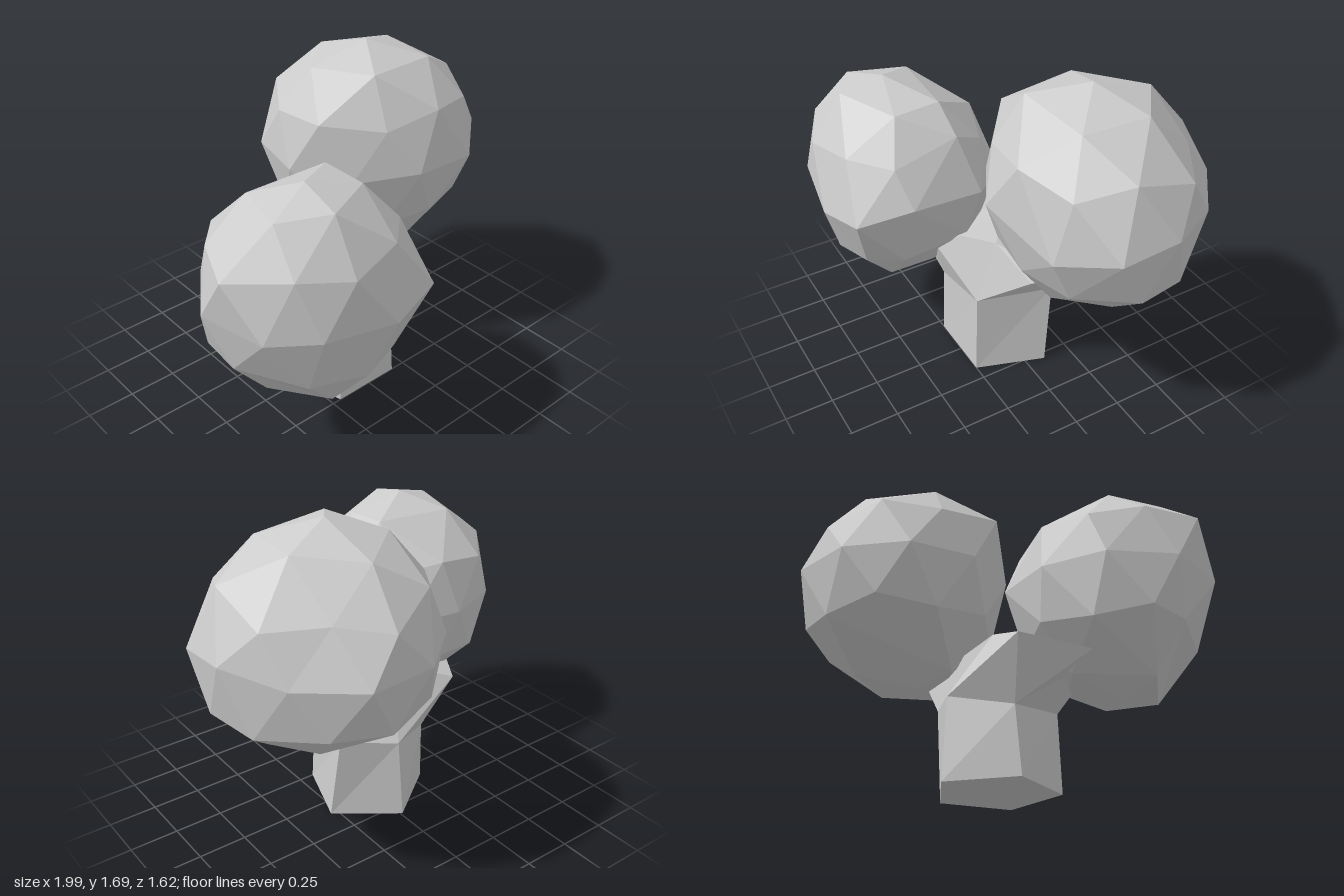
import * as THREE from 'three';

const material = new THREE.MeshStandardMaterial({ color: 0xcccccc, flatShading: true });

// Faceted solid from named points and polygons (corners counter-clockwise from outside)
function facetedGeometry(points, polygons) {
  const positions = [];
  for (const polygon of polygons) {
    const corners = polygon.split(' ').map((key) => points[key]);
    for (let i = 1; i < corners.length - 1; i++) {
      positions.push(...corners[0], ...corners[i], ...corners[i + 1]);
    }
  }
  const geometry = new THREE.BufferGeometry();
  geometry.setAttribute('position', new THREE.Float32BufferAttribute(positions, 3));
  geometry.computeVertexNormals();
  return geometry;
}

// Low-poly ball with a corner at each pole; the corner nearest to each knob is pulled onto it
function crown(name, center, radii, turn, knobs) {
  const geometry = new THREE.IcosahedronGeometry(1, 1);
  geometry.rotateX(-Math.atan2((1 + Math.sqrt(5)) / 2, 1));
  geometry.rotateY(THREE.MathUtils.degToRad(turn));
  geometry.scale(...radii);
  geometry.translate(...center);

  const position = geometry.attributes.position;
  const corners = Array.from({ length: position.count }, (_, i) => new THREE.Vector3().fromBufferAttribute(position, i));
  for (const knob of knobs) {
    const target = new THREE.Vector3(...knob);
    const nearest = Math.min(...corners.map((corner) => corner.distanceTo(target)));
    corners.forEach((corner, i) => {
      if (corner.distanceTo(target) < nearest + 1e-4) position.setXYZ(i, ...knob);
    });
  }
  geometry.computeVertexNormals();
  const mesh = new THREE.Mesh(geometry, material);
  mesh.name = name;
  return mesh;
}

export function createModel() {
  const group = new THREE.Group();
  group.name = 'tree';

  const points = {
    // foot of the five-sided trunk
    a0: [-0.2, 0, 0.25], b0: [0.17, 0, 0.25], c0: [0.29, 0, -0.1], d0: [-0.01, 0, -0.32], e0: [-0.31, 0, -0.1],
    // ring where the trunk forks
    a1: [-0.19, 0.4, 0.24], b1: [0.155, 0.45, 0.23], c1: [0.26, 0.45, -0.15], d1: [0, 0.42, -0.29], e1: [-0.29, 0.34, -0.12],
    // branch toward the lower crown
    lowFront: [-0.42, 0.63, 0.3], lowSide: [-0.62, 0.555, 0.065], lowBack: [-0.42, 0.63, -0.21],
    // fork crest
    crestFront: [-0.1, 0.67, 0.32], crestTop: [-0.03, 0.745, 0.22], crestBack: [-0.11, 0.755, -0.1],
    // branch toward the upper crown
    highTop: [0.14, 0.765, 0.11], highSide: [0.365, 0.64, 0.04], highBack: [0.43, 0.66, -0.11],
  };

  // Trunk with both branch stubs
  const ring = ['a', 'b', 'c', 'd', 'e'];
  const polygons = ring.map((p, i) => {
    const q = ring[(i + 1) % 5];
    return `${p}0 ${q}0 ${q}1 ${p}1`;
  });
  polygons.push(
    'e0 d0 c0 b0 a0',
    'a1 b1 crestFront lowFront',
    'e1 a1 lowFront lowSide',
    'e1 lowSide lowBack d1',
    'crestBack highBack c1 d1 lowBack',
    'b1 c1 highBack highSide',
    'b1 highSide highTop crestTop crestFront',
    'lowFront crestFront crestTop crestBack',
    'lowSide lowFront crestBack lowBack',
    'highTop highSide highBack crestBack crestTop',
  );
  const trunk = new THREE.Mesh(facetedGeometry(points, polygons), material);
  trunk.name = 'forkedTrunk';
  group.add(trunk);

  // Foliage, each ball slightly lumpy; knobs run from top to bottom
  group.add(crown('lowerCrown', [-0.49, 0.94, 0.335], [0.52, 0.53, 0.48], -6, [
    [-0.51, 1.47, 0.37],
    [-0.25, 1.4, 0.2], [-0.53, 1.42, 0.59], [-0.75, 1.4, 0.46], [-0.67, 1.39, 0.17],
    [-0.11, 1.27, 0.18], [-1, 1.2, 0.42], [-0.55, 1.18, 0.75], [-0.09, 1.2, 0.52],
    [-0.35, 0.9, 0.8], [-0.72, 0.94, 0.74], [-0.08, 0.95, 0.74], [0.02, 1.02, 0.48], [-0.93, 0.95, 0.6],
    [0, 0.99, 0.11], [-0.2, 0.95, -0.1], [-0.51, 0.95, -0.14], [-0.81, 0.95, -0.02], [-1, 0.95, 0.26],
    [-0.23, 0.62, 0.65], [-0.44, 0.6, 0.71], [-0.74, 0.66, 0.66], [-0.92, 0.68, 0.36], [-0.04, 0.73, 0.18],
    [-0.26, 0.46, 0.51], [-0.54, 0.43, 0.58], [-0.74, 0.46, 0.35],
    [-0.52, 0.405, 0.39],
  ]));
  group.add(crown('upperCrown', [0.435, 1.14, -0.275], [0.56, 0.55, 0.555], -31, [
    [0.39, 1.69, -0.24],
    [0.1, 1.59, -0.32], [0.65, 1.61, -0.36], [0.38, 1.58, -0.57], [0.22, 1.62, 0.01], [0.62, 1.6, -0.03],
    [-0.08, 1.43, -0.05], [0.4, 1.34, -0.77], [0.88, 1.46, -0.14], [0.87, 1.36, -0.46], [0.62, 1.38, -0.62],
    [0.99, 1.18, -0.31], [0.98, 1.15, -0.02], [0.75, 1.08, 0.18], [0.31, 1.16, 0.26], [0.83, 1.14, -0.6],
    [0.96, 0.88, -0.16], [0.48, 0.86, 0.17], [0.9, 0.85, -0.42], [0.69, 0.89, -0.69],
    [0.7, 0.64, -0.2], [0.46, 0.6, -0.01], [0.58, 0.67, -0.45], [0.24, 0.72, -0.46], [0.15, 0.63, -0.15],
    [0.37, 0.59, -0.22],
  ]));
  return group;
}
